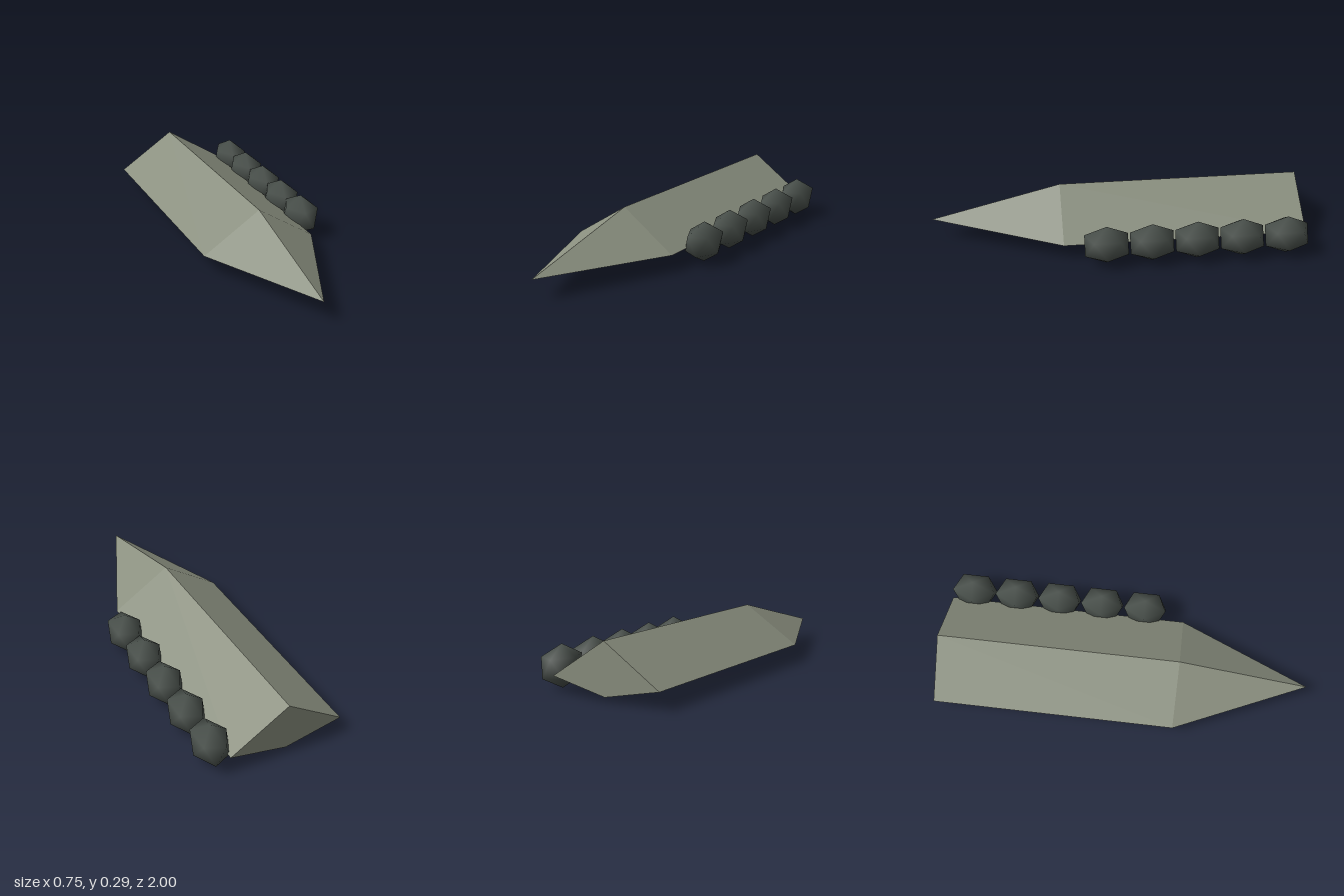
import * as THREE from 'three';
import { mergeVertices } from 'three/addons/utils/BufferGeometryUtils.js';

const hullPaint = new THREE.MeshStandardMaterial({ color: 0x8b9080 });
hullPaint.name = 'greyGreenHull';
const podPaint = new THREE.MeshStandardMaterial({ color: 0x49504b });
podPaint.name = 'darkGreyPods';

// Kite-section hull: flat stern, straight body, tapering to a pointed nose
function hullGeometry() {
  const kite = [[0.241, 0.09], [-0.067, 0.29], [-0.375, 0.09], [-0.067, 0.025]];
  const at = (i, z) => [...kite[i % 4], z];
  const nose = [-0.067, 0.112, 1];
  const stern = -1, shoulder = 0.3;
  const p = [];
  const tri = (...corners) => corners.forEach((c) => p.push(...c));
  for (let i = 0; i < 4; i++) {
    const a = at(i, stern), b = at(i + 1, stern);
    const c = at(i + 1, shoulder), d = at(i, shoulder);
    tri(a, c, d);
    tri(a, b, c);
    tri(d, c, nose);
  }
  tri(at(0, stern), at(2, stern), at(1, stern));
  tri(at(0, stern), at(3, stern), at(2, stern));
  const g = new THREE.BufferGeometry();
  g.setAttribute('position', new THREE.Float32BufferAttribute(p, 3));
  g.computeVertexNormals();
  return g;
}

// Smooth-shaded icosahedron standing on one corner, stretched along the hull
function podGeometry() {
  let g = new THREE.IcosahedronGeometry(1, 0);
  g.rotateZ(Math.atan(2 / (1 + Math.sqrt(5))));
  g.deleteAttribute('normal');
  g.deleteAttribute('uv');
  g = mergeVertices(g, 1e-3);
  g.scale(0.098, 0.11, 0.135);
  g.computeVertexNormals();
  return g;
}

export function createModel() {
  const model = new THREE.Group();
  model.name = 'podBarge';

  const hull = new THREE.Mesh(hullGeometry(), hullPaint);
  hull.name = 'hull';
  model.add(hull);

  // Row of pods along the left side
  const pods = new THREE.Group();
  pods.name = 'podRow';
  const podShape = podGeometry();
  for (let i = 0; i < 5; i++) {
    const pod = new THREE.Mesh(podShape, podPaint);
    pod.name = `pod${i + 1}`;
    pod.position.set(0.288, 0.112, 0.08 - 0.24 * i);
    pods.add(pod);
  }
  model.add(pods);
  return model;
}
